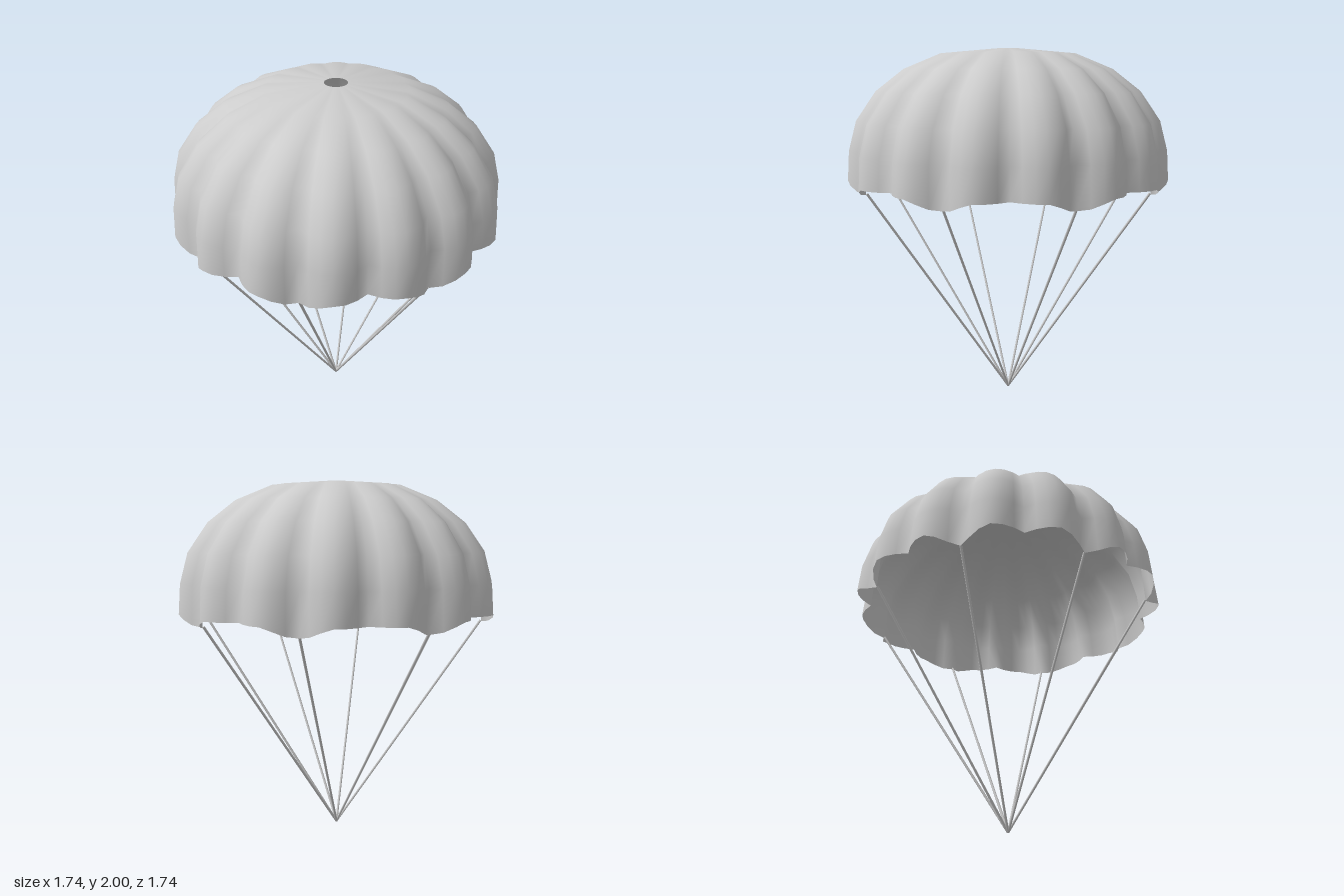
import * as THREE from 'three';

const LOBES = 16, SEGS = 6, LINES = 8;
const COUNT = LOBES * SEGS;

// Canopy profile along a lobe crest: radius, height, depth of the fold between lobes
const PROFILE = [
  [0.06, 2.0, 0], [0.37, 1.972, 0.05], [0.57, 1.89, 0.08], [0.72, 1.775, 0.085],
  [0.83, 1.62, 0.085], [0.875, 1.46, 0.085], [0.888, 1.3, 0.088],
];

function canopyGeometry() {
  const positions = [], indices = [];
  PROFILE.forEach(([radius, height, fold], row) => {
    const isRim = row === PROFILE.length - 1;
    for (let i = 0; i < COUNT; i++) {
      const a = (i / COUNT) * Math.PI * 2;
      const bulge = Math.abs(Math.sin(a * LOBES / 2));
      const r = radius * (1 - fold * (1 - bulge));
      // The hem dips to a point where each line is tied on
      const dip = isRim ? 0.055 * Math.pow(Math.max(0, Math.cos(a * LINES)), 1.5) : 0;
      positions.push(Math.sin(a) * r, height - dip, Math.cos(a) * r);
    }
  });
  for (let row = 0; row < PROFILE.length - 1; row++) {
    for (let i = 0; i < COUNT; i++) {
      const j = (i + 1) % COUNT;
      const a = row * COUNT + i, b = row * COUNT + j;
      const c = a + COUNT, d = b + COUNT;
      indices.push(a, c, b, b, c, d);
    }
  }
  const geometry = new THREE.BufferGeometry();
  geometry.setAttribute('position', new THREE.Float32BufferAttribute(positions, 3));
  geometry.setIndex(indices);
  geometry.computeVertexNormals();
  return geometry;
}

// Thin rod between two points
function rod(from, to, radius, material) {
  const dir = to.clone().sub(from);
  const mesh = new THREE.Mesh(new THREE.CylinderGeometry(radius, radius, dir.length(), 6), material);
  mesh.position.copy(from).add(to).multiplyScalar(0.5);
  mesh.quaternion.setFromUnitVectors(new THREE.Vector3(0, 1, 0), dir.normalize());
  return mesh;
}

export function createModel() {
  const model = new THREE.Group();
  model.name = 'parachute';

  // Lobed fabric dome with a vent hole at the crown
  const fabric = new THREE.MeshStandardMaterial({ color: 0xcccccc, side: THREE.DoubleSide });
  const canopy = new THREE.Mesh(canopyGeometry(), fabric);
  canopy.name = 'canopy';
  model.add(canopy);

  // Suspension lines gathered at one point
  const cord = new THREE.MeshStandardMaterial({ color: 0xcccccc });
  const lines = new THREE.Group();
  lines.name = 'suspensionLines';
  const knot = new THREE.Vector3(0, 0.005, 0);
  for (let i = 0; i < LINES; i++) {
    const a = (i / LINES) * Math.PI * 2;
    const tie = new THREE.Vector3(Math.sin(a) * 0.806, 1.25, Math.cos(a) * 0.806);
    const line = rod(knot, tie, 0.007, cord);
    line.name = 'suspensionLine' + (i + 1);
    lines.add(line);
  }
  model.add(lines);
  return model;
}
